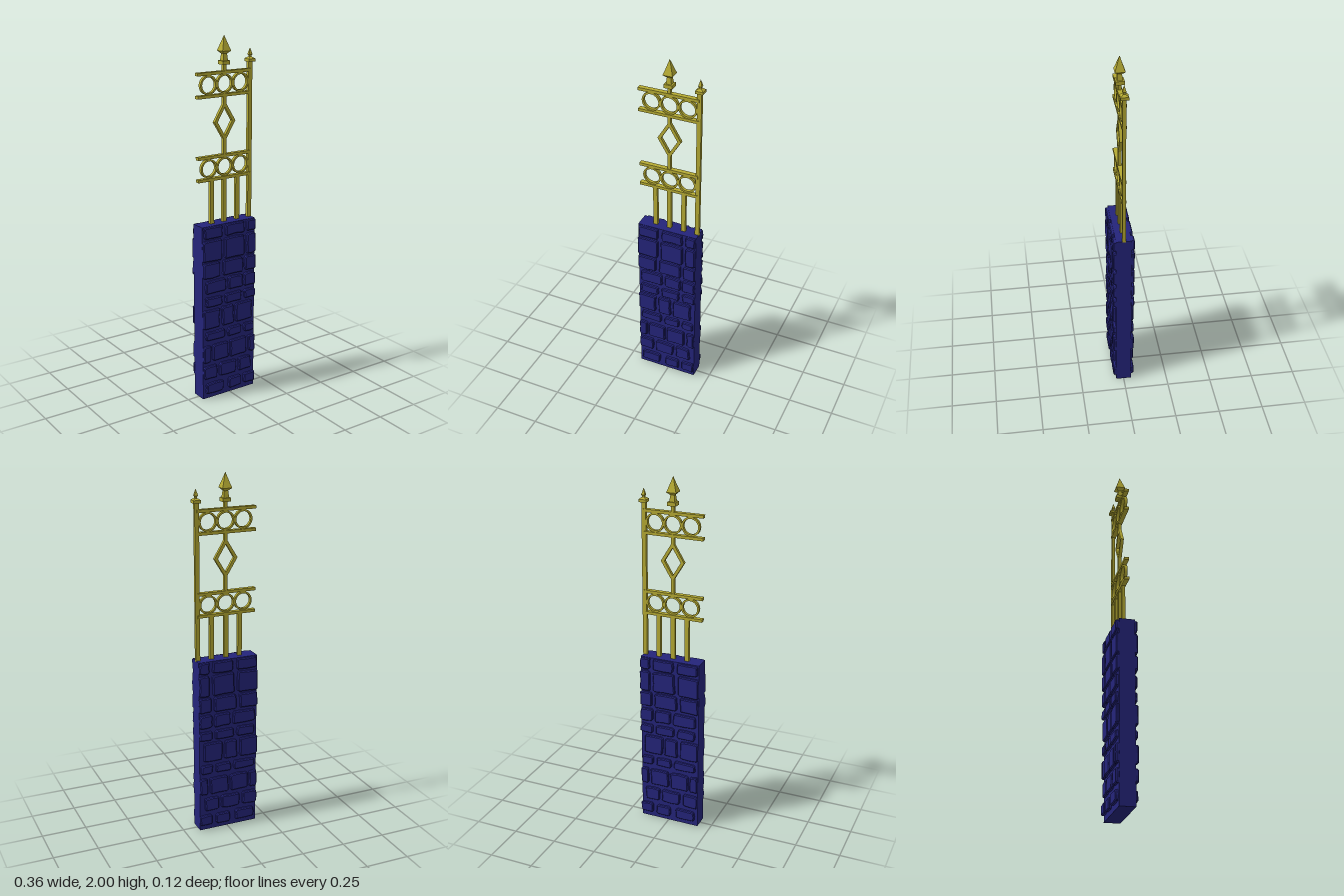
import * as THREE from 'three';

const gold = new THREE.MeshStandardMaterial({ color: 0xb5aa33, flatShading: true });
const blue = new THREE.MeshStandardMaterial({ color: 0x24247a, flatShading: true });

function add(parent, name, geometry, material, x = 0, y = 0, z = 0) {
  const mesh = new THREE.Mesh(geometry, material);
  mesh.name = name;
  mesh.position.set(x, y, z);
  parent.add(mesh);
  return mesh;
}

// Axis-aligned box given by its x and y limits, centred on z = 0
function bar(parent, name, x0, x1, y0, y1, depth, material = gold) {
  return add(parent, name, new THREE.BoxGeometry(x1 - x0, y1 - y0, depth), material, (x0 + x1) / 2, (y0 + y1) / 2);
}

// Square profile swept upward: list of [halfWidth, y]
function squareSpire(parent, name, profile, x) {
  const points = profile.map(([h, y]) => new THREE.Vector2(h * Math.SQRT2, y));
  const geometry = new THREE.LatheGeometry(points, 4).rotateY(Math.PI / 4).toNonIndexed();
  geometry.computeVertexNormals();
  return add(parent, name, geometry, gold, x);
}

let seed = 7;
function jitter(amount) {
  seed = (seed * 16807) % 2147483647;
  return (seed / 2147483647 - 0.5) * 2 * amount;
}

// Bevelled, slightly crooked stone; z runs out of the wall face
function stoneGeometry(x0, x1, y0, y1) {
  const clampX = (x) => Math.min(0.165, Math.max(-0.178, x));
  const xm = (x0 + x1) / 2, ym = (y0 + y1) / 2;
  const c = 0.007;
  const outline = [
    [x0 + c, y0], [xm, y0], [x1 - c, y0], [x1, y0 + c], [x1, ym], [x1, y1 - c],
    [x1 - c, y1], [xm, y1], [x0 + c, y1], [x0, y1 - c], [x0, ym], [x0, y0 + c],
  ].map(([x, y]) => new THREE.Vector2(clampX(x + jitter(0.003)), Math.min(1.003, y + jitter(0.003))));
  return new THREE.ExtrudeGeometry(new THREE.Shape(outline), {
    depth: 0.011, bevelEnabled: true, bevelSegments: 1,
    bevelThickness: 0.005, bevelSize: 0.005, bevelOffset: -0.005,
  });
}

// Courses of stones: bottom, top, then left/right limits of each stone
const courses = [
  [0.03, 0.09, [-0.16, -0.05], [-0.013, 0.07], [0.093, 0.165]],
  [0.12, 0.195, [-0.178, -0.092], [-0.07, 0.035], [0.055, 0.137]],
  [0.222, 0.318, [-0.178, -0.132], [-0.12, -0.016], [-0.003, 0.105], [0.122, 0.165]],
  [0.35, 0.398, [-0.162, -0.04], [-0.018, 0.07], [0.092, 0.155]],
  [0.423, 0.53, [-0.178, -0.075], [-0.056, 0.018], [0.034, 0.14]],
  [0.55, 0.602, [-0.16, -0.057], [-0.035, 0.07], [0.092, 0.165]],
  [0.625, 0.697, [-0.162, -0.034], [-0.013, 0.077], [0.092, 0.165]],
  [0.715, 0.798, [-0.178, -0.072], [-0.05, 0.077], [0.097, 0.165]],
  [0.81, 0.925, [-0.178, -0.06], [-0.038, 0.087], [0.108, 0.165]],
  [0.94, 1.003, [-0.17, -0.055], [-0.03, 0.087], [0.108, 0.165]],
];

function stoneWall() {
  const wall = new THREE.Group();
  wall.name = 'stoneWall';
  bar(wall, 'wallCore', -0.178, 0.165, 0, 1.005, 0.086, blue);
  for (const [y0, y1, ...stones] of courses) {
    for (const [x0, x1] of stones) {
      add(wall, 'frontStone', stoneGeometry(x0, x1, y0, y1), blue, 0, 0, 0.043);
      // Same stone on the back, turned about its own centre
      const xc = (x0 + x1) / 2;
      const back = stoneGeometry(x0, x1, y0, y1).translate(-xc, 0, 0).rotateY(Math.PI);
      add(wall, 'backStone', back, blue, xc, 0, -0.043);
    }
  }
  return wall;
}

function diamond(parent, x, y) {
  const rhombus = (w, h) => [[0, -h], [w, 0], [0, h], [-w, 0]].map(([a, b]) => new THREE.Vector2(a, b));
  const shape = new THREE.Shape(rhombus(0.066, 0.108));
  shape.holes.push(new THREE.Path(rhombus(0.046, 0.076)));
  const geometry = new THREE.ExtrudeGeometry(shape, { depth: 0.018, bevelEnabled: false });
  add(parent, 'diamond', geometry.translate(0, 0, -0.009), gold, x, y);
}

function ring(parent, x, y) {
  const shape = new THREE.Shape().absarc(0, 0, 0.051, 0, Math.PI * 2);
  shape.holes.push(new THREE.Path().absarc(0, 0, 0.041, 0, Math.PI * 2, true));
  const geometry = new THREE.ExtrudeGeometry(shape, { depth: 0.018, bevelEnabled: false, curveSegments: 20 });
  add(parent, 'ring', geometry.translate(0, 0, -0.009), gold, x, y);
}

function ironwork() {
  const fence = new THREE.Group();
  fence.name = 'ironwork';
  const cx = -0.008;

  // Rails with rings between each pair
  for (const y of [1.25, 1.37, 1.692, 1.81]) bar(fence, 'rail', -0.178, 0.155, y - 0.008, y + 0.008, 0.026);
  for (const y of [1.31, 1.751]) for (const dx of [-0.1, 0, 0.1]) ring(fence, cx + dx, y);

  // Short uprights standing on the wall
  for (const x of [-0.09, -0.01, 0.074]) bar(fence, 'upright', x - 0.012, x + 0.012, 1.0, 1.25, 0.018);

  // Diamond and its stems
  diamond(fence, cx, 1.552);
  bar(fence, 'lowerStem', cx - 0.009, cx + 0.009, 1.37, 1.46, 0.018);
  bar(fence, 'upperStem', cx - 0.009, cx + 0.009, 1.644, 1.69, 0.018);

  // Centre spear
  squareSpire(fence, 'centreSpear', [
    [0, 1.81], [0.009, 1.81], [0.009, 1.85], [0.023, 1.85], [0.023, 1.87],
    [0.015, 1.87], [0.011, 1.905], [0.027, 1.92], [0.018, 1.945], [0, 2.0],
  ], cx);

  // Tall side post with cap and small spike
  bar(fence, 'sidePost', 0.142, 0.166, 1.0, 1.86, 0.018);
  squareSpire(fence, 'sidePostCap', [
    [0, 1.853], [0.021, 1.853], [0.021, 1.868], [0.012, 1.874],
    [0.006, 1.877], [0.006, 1.884], [0.01, 1.89], [0, 1.925],
  ], 0.156);
  return fence;
}

export function createModel() {
  const model = new THREE.Group();
  model.name = 'wallWithIronwork';
  model.add(stoneWall(), ironwork());
  return model;
}
